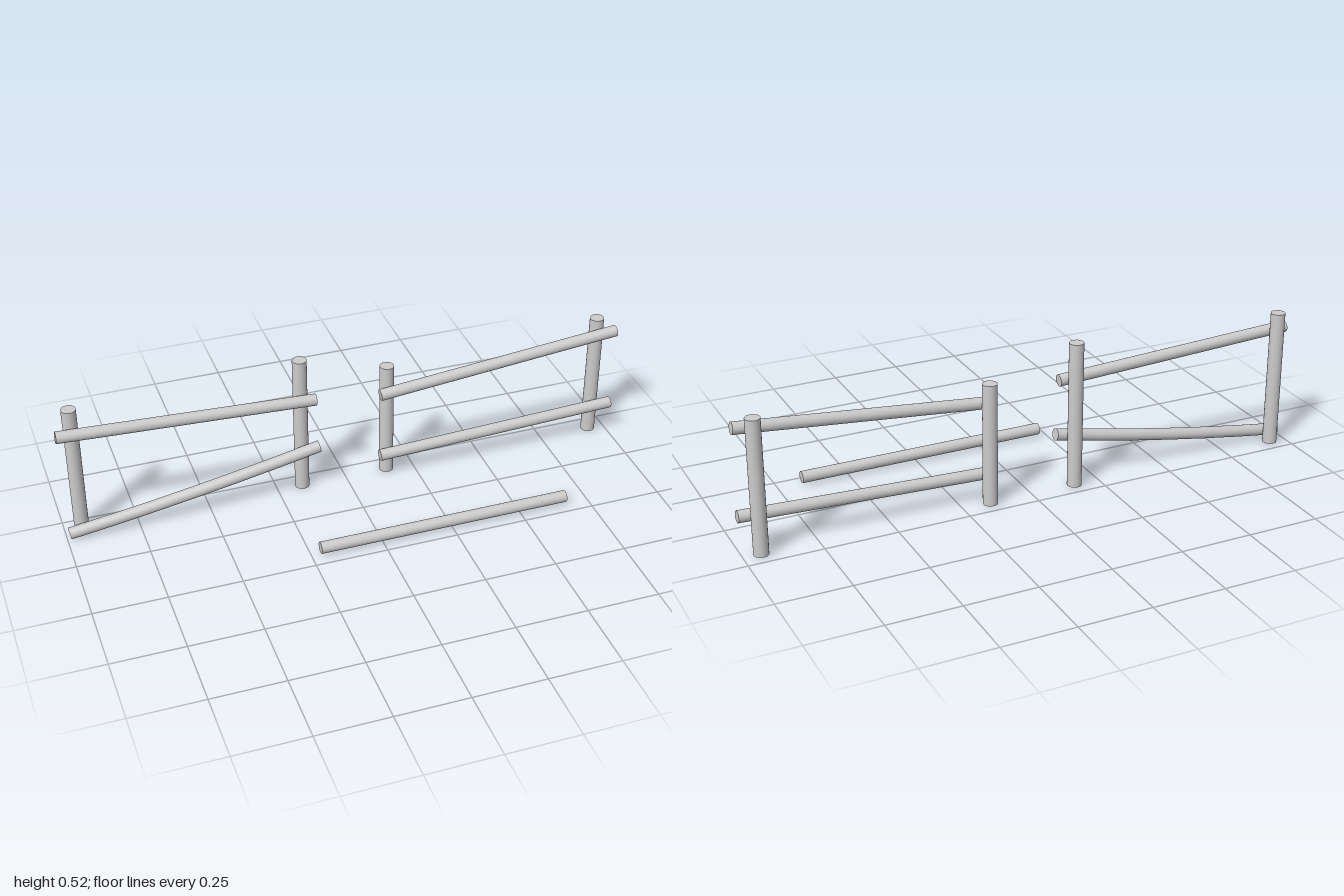
import * as THREE from 'three';

export function createModel() {
  const group = new THREE.Group();
  const material = new THREE.MeshStandardMaterial({ color: 0xcccccc });

  // Round upright standing on the ground
  function addPost(name, x, height) {
    const post = new THREE.Mesh(new THREE.CylinderGeometry(0.025, 0.025, height, 24), material);
    post.name = name;
    post.position.set(x, height / 2, -0.195);
    group.add(post);
  }

  // Round pole between two points in the xy plane, optionally sagging in the middle
  function addRail(name, x1, y1, x2, y2, z = -0.155, sag = 0) {
    const length = Math.hypot(x2 - x1, y2 - y1);
    const geometry = new THREE.CylinderGeometry(0.0205, 0.0205, length, 24, sag ? 6 : 1);
    if (sag) {
      const p = geometry.attributes.position;
      for (let i = 0; i < p.count; i++) {
        const t = (2 * p.getY(i)) / length;
        p.setX(i, p.getX(i) + sag * (1 - t * t));
      }
      geometry.computeBoundingSphere();
    }
    const rail = new THREE.Mesh(geometry, material);
    rail.name = name;
    rail.position.set((x1 + x2) / 2, (y1 + y2) / 2, z);
    rail.rotation.z = Math.atan2(y2 - y1, x2 - x1) - Math.PI / 2;
    group.add(rail);
  }

  // Right-hand fence section
  addPost('rightOuterPost', -0.942, 0.488);
  addPost('rightInnerPost', -0.16, 0.516);
  addRail('rightTopRail', -0.999, 0.415, -0.117, 0.374);
  addRail('rightBentRail', -0.99, 0.022, -0.107, 0.18, -0.155, 0.009);

  // Left-hand fence section
  addPost('leftInnerPost', 0.152, 0.43);
  addPost('leftOuterPost', 0.94, 0.468);
  addRail('leftTopRail', 0.115, 0.342, 0.997, 0.427);
  addRail('leftLowerRail', 0.115, 0.09, 0.998, 0.125);

  // Loose rail lying in front of the gap
  addRail('fallenRail', -0.219, 0.028, 0.668, 0.028, 0.2);

  return group;
}
